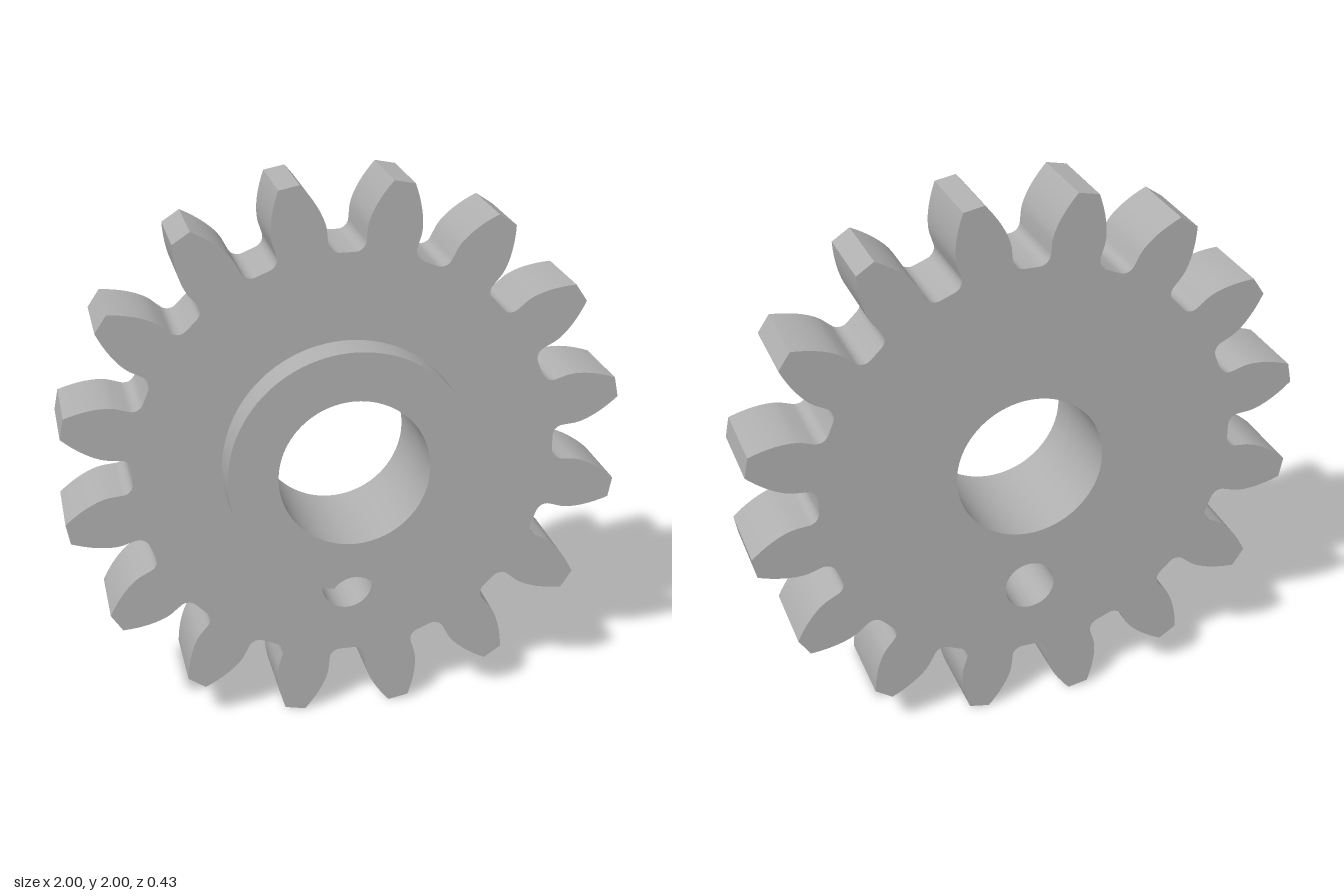
import * as THREE from 'three';
import { toCreasedNormals } from 'three/addons/utils/BufferGeometryUtils.js';

const TEETH = 16, ROOT = 0.76, PITCH = 0.9, TIP = 1.0125;
const BASE = PITCH * Math.cos(THREE.MathUtils.degToRad(20));
const BORE = 0.27, HUB = 0.447, PIN = 0.093, PIN_Y = -0.495;
const BACK = -0.2125, FACE = 0.083, FRONT = 0.2125;

const involute = (r) => {
  const a = Math.acos(Math.min(1, BASE / r));
  return Math.tan(a) - a;
};

// Half of one tooth gap, from its middle up to the tooth tip, as [radius, angle]
function halfGap() {
  const fillet = 0.04, pts = [];
  const gapAngle = (r) => Math.PI / (2 * TEETH) - involute(PITCH) + involute(r);
  const wall = (ROOT + fillet) * Math.sin(gapAngle(BASE));
  for (let i = 0; i <= 6; i++) {
    const t = (i / 6) * Math.PI / 2;
    const x = wall - fillet + fillet * Math.sin(t);
    const y = ROOT + fillet - fillet * Math.cos(t);
    pts.push([Math.hypot(x, y), Math.atan2(x, y)]);
  }
  for (let i = 0; i <= 8; i++) {
    const r = BASE + (TIP - BASE) * i / 8;
    pts.push([r, gapAngle(r)]);
  }
  return pts;
}

function gearShape() {
  const half = halfGap();
  const gap = [...half.map(([r, a]) => [r, -a]).reverse(), ...half];
  const pts = [];
  for (let k = 0; k < TEETH; k++) {
    const mid = Math.PI / 2 + k * 2 * Math.PI / TEETH;
    for (const [r, a] of gap) {
      pts.push(new THREE.Vector2(r * Math.cos(mid + a), r * Math.sin(mid + a)));
    }
  }
  return new THREE.Shape(pts);
}

// Round collar outline, notched where the pin hole cuts into it
function hubShape() {
  const y = (HUB * HUB - PIN * PIN + PIN_Y * PIN_Y) / (2 * PIN_Y);
  const x = Math.sqrt(HUB * HUB - y * y);
  const shape = new THREE.Shape();
  shape.absarc(0, 0, HUB, Math.atan2(y, x), Math.atan2(y, -x) + 2 * Math.PI, false);
  shape.absarc(0, PIN_Y, PIN, Math.atan2(y - PIN_Y, -x), Math.atan2(y - PIN_Y, x), true);
  return shape;
}

function addHole(shape, y, radius) {
  shape.holes.push(new THREE.Path().absarc(0, y, radius, 0, Math.PI * 2, true));
}

function plate(name, shape, z0, z1, material) {
  const geometry = new THREE.ExtrudeGeometry(shape, {
    depth: z1 - z0, bevelEnabled: false, curveSegments: 48,
  });
  const mesh = new THREE.Mesh(toCreasedNormals(geometry, 0.5), material);
  mesh.name = name;
  mesh.position.set(0, 1, z0);
  return mesh;
}

export function createModel() {
  const steel = new THREE.MeshStandardMaterial({ color: 0xb0b0b0 });
  steel.name = 'grey steel';

  const gear = gearShape();
  addHole(gear, 0, BORE);
  addHole(gear, PIN_Y, PIN);
  const hub = hubShape();
  addHole(hub, 0, BORE);

  const model = new THREE.Group();
  model.name = 'spurGear';
  model.add(
    plate('toothedWheel', gear, BACK, FACE, steel),
    plate('hubCollar', hub, FACE, FRONT, steel),
  );
  return model;
}
